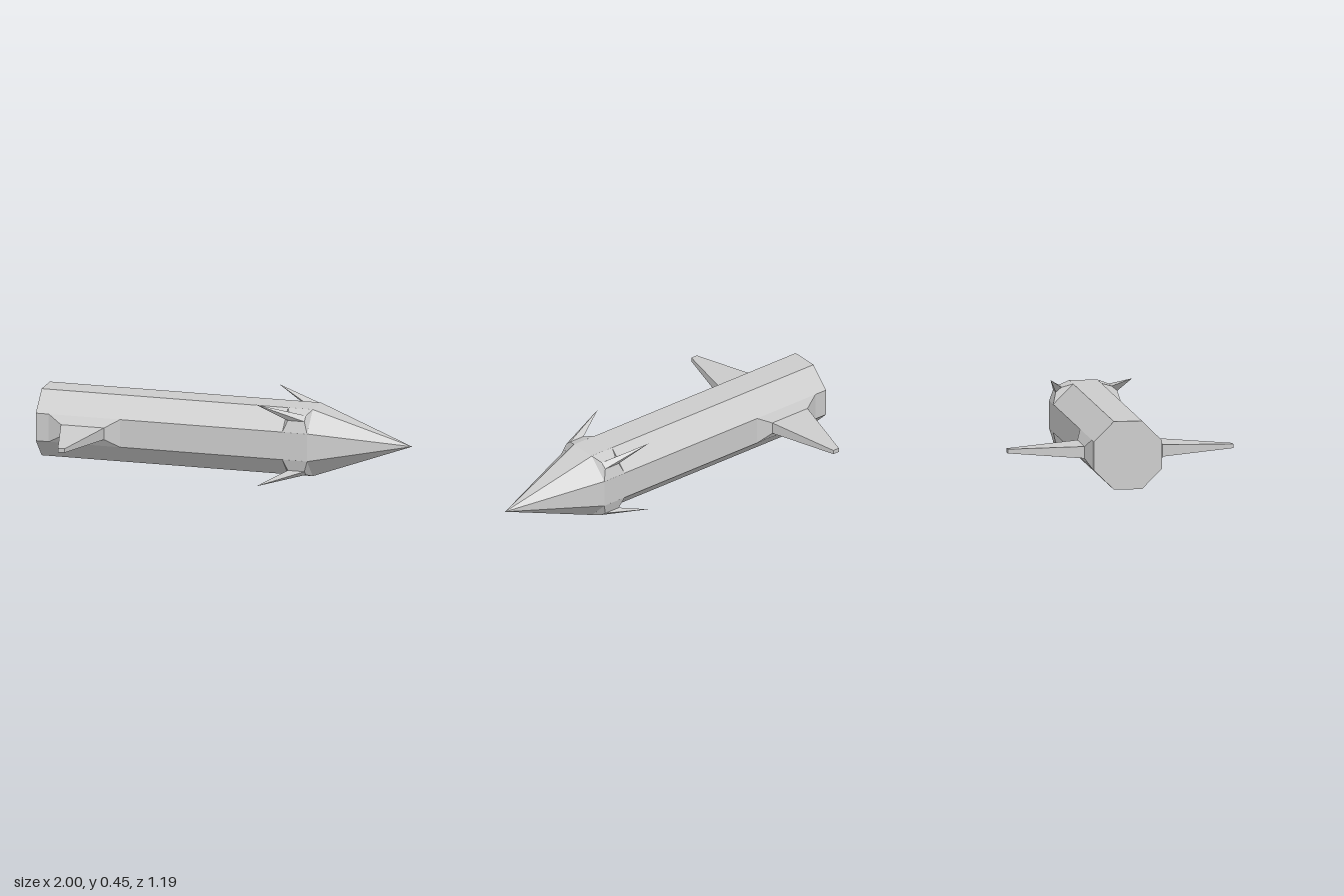
import * as THREE from 'three';

const material = new THREE.MeshStandardMaterial({ color: 0xcccccc, flatShading: true });
const CY = 0.225; // height of the body axis
const R = 0.195;  // octagon corner radius

// Joins four-cornered rings (counter-clockwise seen from the last one) and caps the end.
function loft(rings, flip) {
  const pos = [];
  const tri = (a, b, c) => pos.push(...a, ...(flip ? c : b), ...(flip ? b : c));
  const quad = (a, b, c, d) => { tri(a, b, c); tri(a, c, d); };
  for (let k = 0; k < rings.length - 1; k++) {
    for (let i = 0; i < 4; i++) {
      const j = (i + 1) % 4;
      quad(rings[k][i], rings[k][j], rings[k + 1][j], rings[k + 1][i]);
    }
  }
  quad(...rings[rings.length - 1]);
  const g = new THREE.BufferGeometry();
  g.setAttribute('position', new THREE.Float32BufferAttribute(pos, 3));
  g.computeVertexNormals();
  return g;
}

// Ring from a back and front x and two (y, z) edges, y measured from the axis.
const ring = (x0, x1, [ya, za], [yb, zb], sy, sz) => [
  [x0, CY + sy * ya, sz * za], [x1, CY + sy * ya, sz * za],
  [x1, CY + sy * yb, sz * zb], [x0, CY + sy * yb, sz * zb],
];

export function createModel() {
  const group = new THREE.Group();
  const add = (name, geometry) => {
    const mesh = new THREE.Mesh(geometry, material);
    mesh.name = name;
    group.add(mesh);
    return mesh;
  };

  // Octagonal body with a pointed nose
  const profile = [[0, -1], [R, -1], [R, 0.48], [0, 1]].map(p => new THREE.Vector2(...p));
  const hull = new THREE.LatheGeometry(profile, 8, Math.PI / 8);
  hull.rotateZ(-Math.PI / 2);
  add('body', hull).position.y = CY;

  for (const sz of [1, -1]) {
    // Tapered tail fin on a sloping root
    add(sz > 0 ? 'frontFin' : 'backFin', loft([
      ring(-0.93, -0.54, [-0.075, 0.18], [0.075, 0.18], 1, sz),
      ring(-0.855, -0.62, [-0.033, 0.207], [0.03, 0.207], 1, sz),
      ring(-0.755, -0.718, [-0.012, 0.597], [0.01, 0.597], 1, sz),
    ], sz < 0));

    // Swept-back barbs on the diagonal faces behind the nose
    for (const sy of [1, -1]) {
      const tip = sy > 0 ? [0.223, 0.216] : sz > 0 ? [0.222, 0.21] : [0.185, 0.206];
      add((sy > 0 ? 'upper' : 'lower') + (sz > 0 ? 'Front' : 'Back') + 'Barb', loft([
        ring(0.345, 0.48, [0.075, 0.18], [0.18, 0.075], sy, sz),
        ring(0.37, 0.46, [0.135, 0.163], [0.16, 0.133], sy, sz),
        ring(0.21, 0.21, tip, tip, sy, sz),
      ], sy * sz < 0));
    }
  }
  return group;
}
